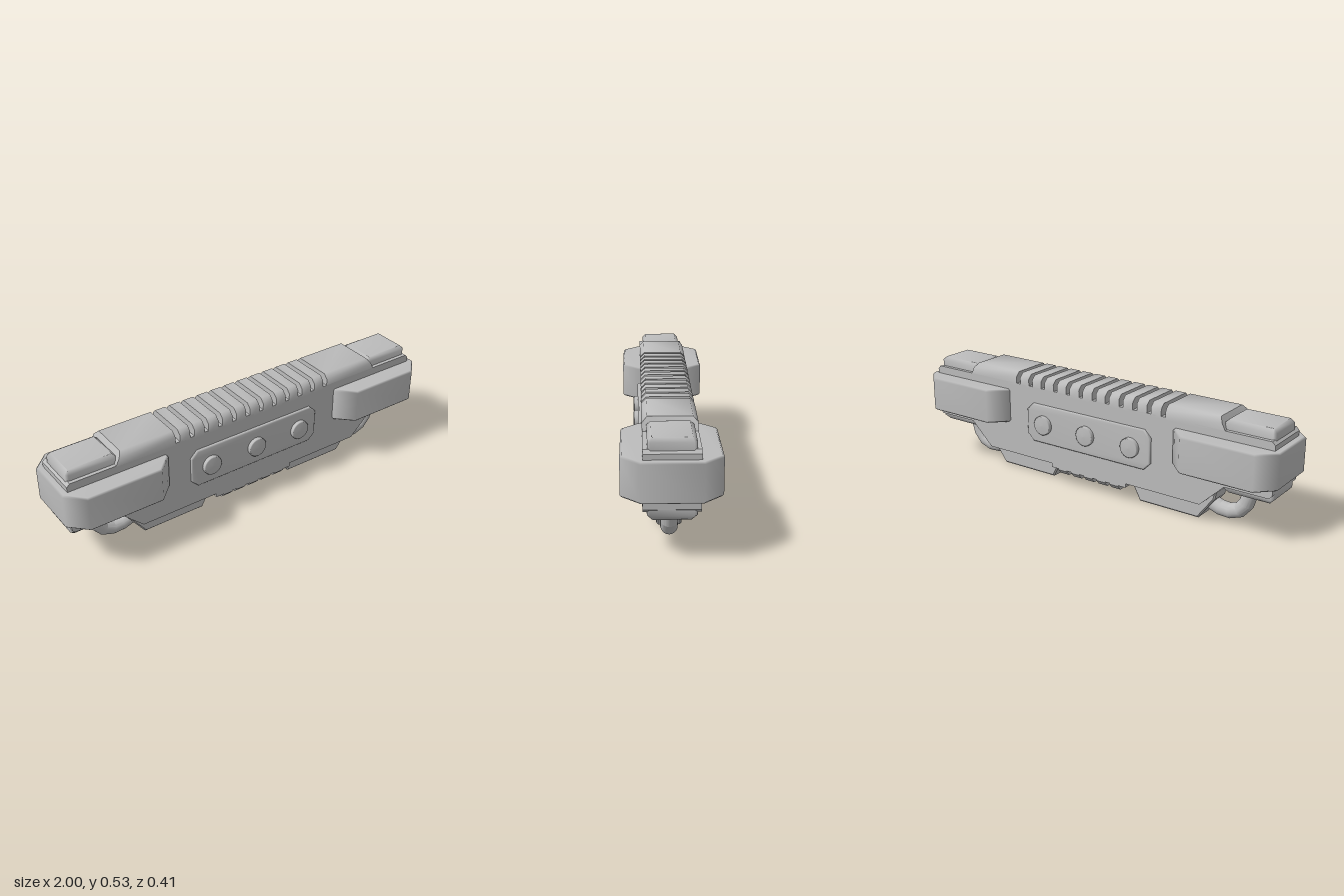
import * as THREE from 'three';
import { mergeVertices, toCreasedNormals } from 'three/addons/utils/BufferGeometryUtils.js';

export function createModel() {
  const model = new THREE.Group();
  model.name = 'handDevice';
  const grey = new THREE.MeshStandardMaterial({ color: 0xbcbcbc });
  grey.name = 'grey';

  const add = (parent, name, geometry) => {
    const mesh = new THREE.Mesh(geometry, grey);
    mesh.name = name;
    parent.add(mesh);
    return mesh;
  };

  // Extrude an outline from z = a to z = b, with chamfered rims
  const prism = (points, a, b, bevel = 0) => {
    const shape = new THREE.Shape(points.map(([x, y]) => new THREE.Vector2(x, y)));
    const g = new THREE.ExtrudeGeometry(shape, {
      depth: b - a - 2 * bevel, bevelEnabled: bevel > 0, bevelThickness: bevel,
      bevelSize: bevel, bevelOffset: -bevel, bevelSegments: 1,
    });
    return g.translate(0, 0, a + bevel);
  };
  // Share corners so that shading rolls over the chamfers
  const soften = (g) => {
    g.deleteAttribute('normal');
    g.deleteAttribute('uv');
    const soft = mergeVertices(g);
    soft.computeVertexNormals();
    return soft;
  };
  // Prism standing along y (outline in x, z) or lying along x (outline in z, y)
  const slab = (points, y0, y1, bevel) => soften(prism(points, y0, y1, bevel).rotateX(-Math.PI / 2));
  const bar = (points, x0, x1) => prism(points, x0, x1).rotateY(Math.PI / 2);
  // Rectangle with cut corners
  const cutRect = (x0, x1, y0, y1, c) => [
    [x0 + c, y0], [x1 - c, y0], [x1, y0 + c], [x1, y1 - c],
    [x1 - c, y1], [x0 + c, y1], [x0, y1 - c], [x0, y0 + c],
  ];

  // Main body: half outline, mirrored
  const half = [[0.22, 0.08], [0.22, 0.1], [0.62, 0.1], [0.74, 0.215],
    [0.955, 0.215], [0.97, 0.23], [0.97, 0.46], [0.955, 0.475]];
  const outline = [...half, ...half.map(([x, y]) => [-x, y]).reverse()];
  add(model, 'body', prism(outline, -0.116, 0.116));

  // Ribs along the top and bottom
  const pitch = 0.0765;
  const topSection = [[-0.116, 0.46], [0.116, 0.46], [0.116, 0.508], [0.095, 0.53],
    [-0.095, 0.53], [-0.116, 0.508]];
  for (let i = -5; i <= 5; i++) {
    add(model, 'topRib', toCreasedNormals(bar(topSection, i * pitch - 0.027, i * pitch + 0.027), 0.9));
  }
  const bottomSection = [[-0.095, 0.052], [0.095, 0.052], [0.116, 0.075], [0.116, 0.11],
    [-0.116, 0.11], [-0.116, 0.075]];
  for (let i = -2; i <= 2; i++) {
    add(model, 'bottomRib', bar(bottomSection, i * pitch - 0.025, i * pitch + 0.025));
  }

  // Button panels on the front and back
  const buttonProfile = [[0.048, 0.12], [0.048, 0.146], [0.044, 0.15], [0, 0.152]]
    .map(([r, y]) => new THREE.Vector2(r, y));
  for (const turn of [0, Math.PI]) {
    const side = new THREE.Group();
    side.name = 'buttonPanel';
    side.rotation.y = turn;
    add(side, 'panelPlate', soften(prism(cutRect(-0.36, 0.36, 0.2, 0.395, 0.035), 0.1, 0.13, 0.006)));
    for (const x of [-0.255, 0, 0.255]) {
      const button = add(side, 'button', new THREE.LatheGeometry(buttonProfile, 24).rotateX(Math.PI / 2));
      button.position.set(x, 0.297, 0);
    }
    model.add(side);
  }

  // The two matching ends
  for (const turn of [0, Math.PI]) {
    const end = new THREE.Group();
    end.name = turn ? 'rightEnd' : 'leftEnd';
    end.rotation.y = turn;

    // Wide octagonal bumper
    add(end, 'bumper', slab(cutRect(0.48, 1, -0.206, 0.206, 0.08), 0.264, 0.436, 0.008));

    // Smooth top cover, its outer end sloping inward
    const cover = bar(topSection, 0.433, 0.74);
    const p = cover.attributes.position;
    for (let i = 0; i < p.count; i++) {
      if (p.getX(i) > 0.7) p.setX(i, 0.74 - Math.max(0, p.getY(i) - 0.475) * 0.73);
    }
    add(end, 'topCover', toCreasedNormals(cover, 0.9));

    // Pads above and below the tip
    add(end, 'topPad', slab(cutRect(0.715, 0.96, -0.098, 0.098, 0.012), 0.42, 0.52, 0.017));
    add(end, 'bottomPad', slab(cutRect(0.72, 0.968, -0.1, 0.1, 0.012), 0.176, 0.28, 0.026));

    // Narrow foot
    const foot = [[0.26, 0], [0.58, 0], [0.662, 0.11], [0.668, 0.145], [0.6, 0.145],
      [0.22, 0.145], [0.22, 0.075]];
    add(end, 'foot', prism(foot, -0.055, 0.055, 0.007));

    // Segmented hose from the bottom pad to the foot
    const path = new THREE.CatmullRomCurve3([[0.815, 0.21], [0.81, 0.14], [0.775, 0.08],
      [0.71, 0.056], [0.65, 0.066], [0.58, 0.1]].map(([x, y]) => new THREE.Vector3(x, y, 0.006)));
    add(end, 'hose', toCreasedNormals(new THREE.TubeGeometry(path, 7, 0.036, 28, false), 0.25));

    model.add(end);
  }
  return model;
}
